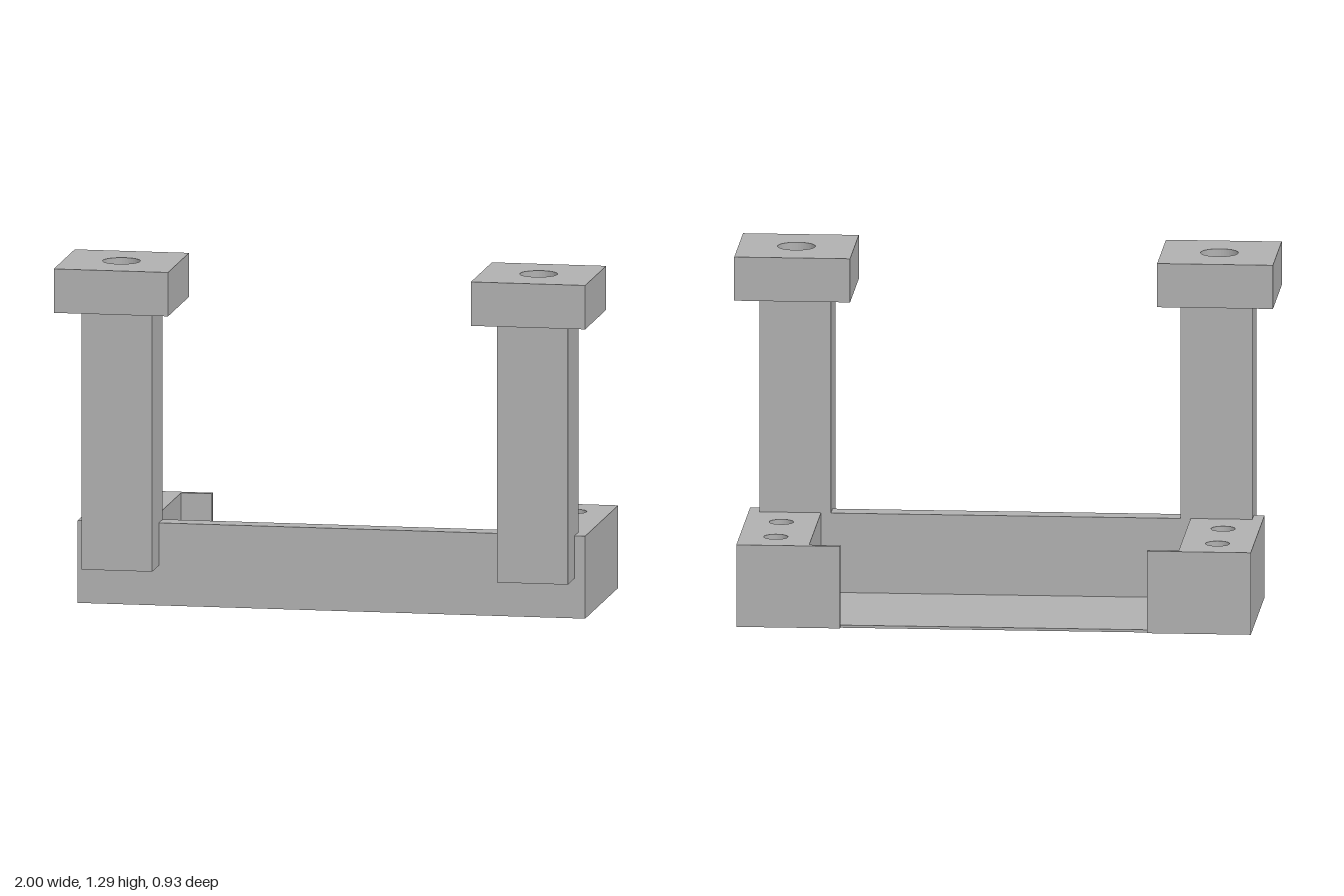
import * as THREE from 'three';

const grey = new THREE.MeshStandardMaterial({ color: 0xb0b0b0 });
grey.name = 'grey';

// Extrudes a plan outline of [x, z] points upward from y0 to y1, with round holes [x, z, r]
function slab(name, points, y0, y1, holes = []) {
  const shape = new THREE.Shape(points.map(([x, z]) => new THREE.Vector2(x, -z)));
  for (const [x, z, r] of holes) {
    shape.holes.push(new THREE.Path().absarc(x, -z, r, 0, Math.PI * 2, true));
  }
  const geometry = new THREE.ExtrudeGeometry(shape, { depth: y1 - y0, bevelEnabled: false, curveSegments: 20 });
  geometry.rotateX(-Math.PI / 2);
  geometry.translate(0, y0, 0);
  const mesh = new THREE.Mesh(geometry, grey);
  mesh.name = name;
  return mesh;
}

const rect = (x0, x1, z0, z1) => [[x0, z1], [x1, z1], [x1, z0], [x0, z0]];

// Completes a half outline with its mirror image across x = 0
const mirrored = (half) => [...half, ...half.map(([x, z]) => [-x, z]).reverse()];

export function createModel() {
  const model = new THREE.Group();
  model.name = 'mountingBracket';

  const W = 0.955, FRONT = 0.217, BACK = -0.463, FLOOR = 0.01, RIM = 0.31;

  // Thin floor, slightly recessed between the rear lips
  model.add(slab('floor', mirrored([[W, FRONT], [W, BACK], [0.57, BACK], [0.57, -0.45]]), 0, FLOOR));

  // Front wall, end blocks with screw holes, and rear retaining lips
  const screwHoles = [];
  for (const x of [-0.82, 0.82]) for (const z of [-0.305, -0.035]) screwHoles.push([x, z, 0.045]);
  const frame = mirrored([[W, FRONT], [W, BACK], [0.57, BACK], [0.57, -0.44], [0.686, -0.44], [0.686, 0.138]]);
  model.add(slab('frame', frame, FLOOR, RIM, screwHoles));

  // Upright posts with drilled square caps
  for (const side of [1, -1]) {
    const post = new THREE.Mesh(new THREE.BoxGeometry(0.266, 0.98, 0.216), grey);
    post.name = side > 0 ? 'leftPost' : 'rightPost';
    post.position.set(side * 0.782, 0.64, 0.248);
    model.add(post);

    const cx = side * 0.785;
    const cap = slab(side > 0 ? 'leftCap' : 'rightCap',
      rect(cx - 0.215, cx + 0.215, 0.031, 0.463), 1.13, 1.295, [[cx, 0.245, 0.07]]);
    model.add(cap);
  }

  return model;
}
